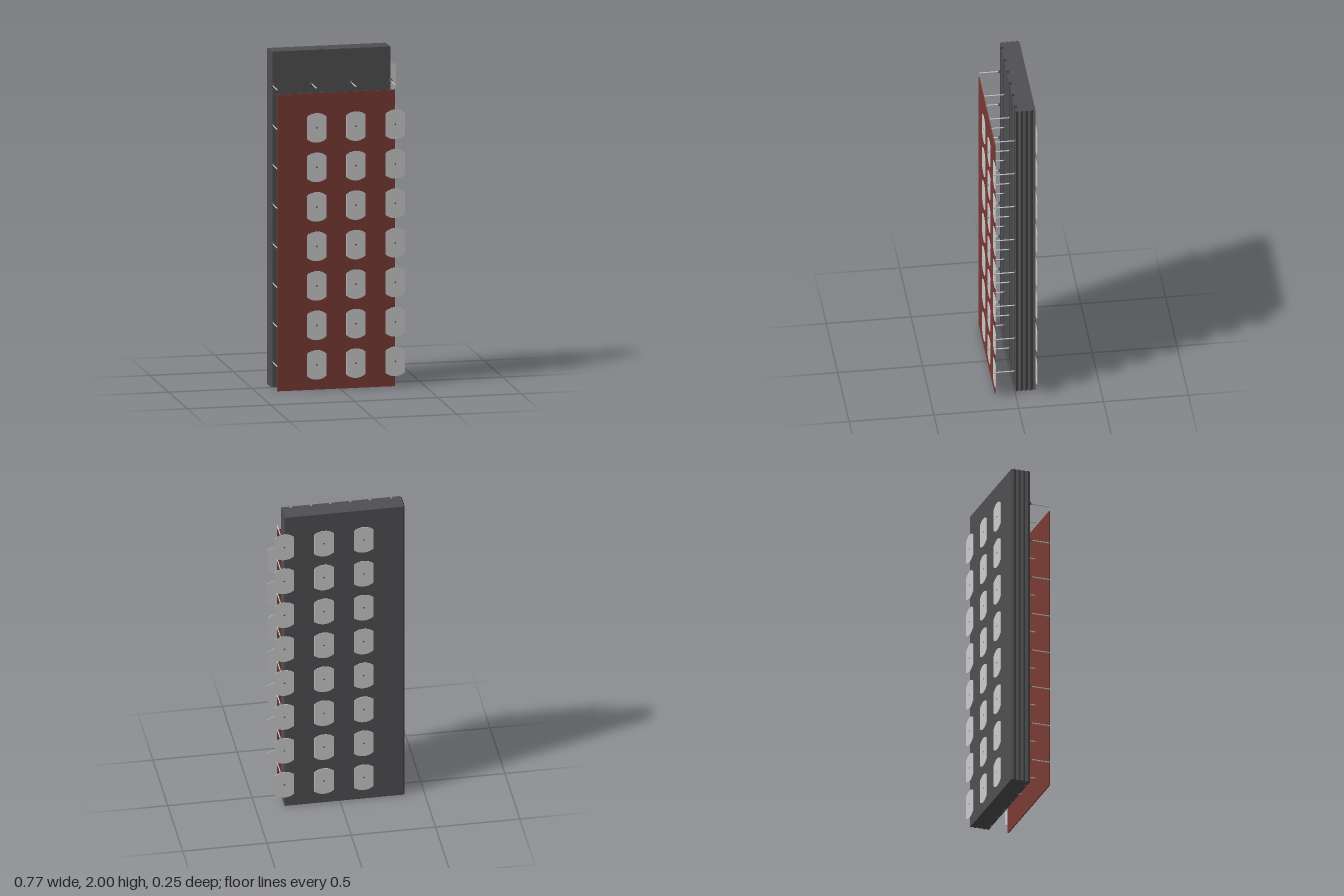
import * as THREE from 'three';

const dark = new THREE.MeshStandardMaterial({ color: 0x505052, flatShading: true });
const red = new THREE.MeshStandardMaterial({ color: 0x7a3a34 });
const grey = new THREE.MeshStandardMaterial({ color: 0xcccccc });

const columns = [-0.375, -0.14, 0.095, 0.33];
const rows = Array.from({ length: 8 }, (_, i) => 0.148 + i * 0.2355);
const BACK = -0.122, FRONT = -0.006, LEFT = -0.375, RIGHT = 0.33;

function add(parent, name, geometry, material, x = 0, y = 0, z = 0) {
  const mesh = new THREE.Mesh(geometry, material);
  mesh.name = name;
  mesh.position.set(x, y, z);
  parent.add(mesh);
  return mesh;
}

// Wall slab outline: zigzag sides that interlock, dovetail grooves along the front
function slabGeometry() {
  const pts = [];
  const steps = 8;
  const zAt = i => BACK + (FRONT - BACK) * i / steps;
  for (let i = 0; i <= steps; i++) pts.push([LEFT - (i % 2) * 0.011, zAt(i)]);
  for (const x of [-0.325, -0.198, -0.081, 0.037, 0.154, 0.272]) {
    pts.push([x - 0.008, FRONT], [x - 0.011, FRONT - 0.015]);
    pts.push([x + 0.011, FRONT - 0.015], [x + 0.008, FRONT]);
  }
  for (let i = steps; i >= 0; i--) pts.push([RIGHT - (i % 2) * 0.011, zAt(i)]);
  const shape = new THREE.Shape(pts.map(([x, z]) => new THREE.Vector2(x, -z)));
  return new THREE.ExtrudeGeometry(shape, { depth: 2, bevelEnabled: false }).rotateX(-Math.PI / 2);
}

// Pressure plate: a disc with its two sides cut straight
function plateGeometry() {
  const r = 0.088, a = Math.acos(0.058 / r);
  const shape = new THREE.Shape();
  shape.absarc(0, 0, r, a, Math.PI - a, false);
  shape.absarc(0, 0, r, Math.PI + a, 2 * Math.PI - a, false);
  shape.closePath();
  return new THREE.ExtrudeGeometry(shape, { depth: 0.003, bevelEnabled: false, curveSegments: 16 });
}

export function createModel() {
  const model = new THREE.Group();
  model.name = 'insulatedWallPanel';

  add(model, 'insulationSlab', slabGeometry(), dark);
  add(model, 'facingSheet', new THREE.BoxGeometry(RIGHT - LEFT, 1.768, 0.006), red,
    (LEFT + RIGHT) / 2, 0.884, 0.116);

  // Tie rods with conical collars on the slab
  const rod = new THREE.CylinderGeometry(0.0035, 0.0035, 0.123, 12).rotateX(Math.PI / 2);
  const collar = new THREE.CylinderGeometry(0.004, 0.012, 0.01, 16).rotateX(Math.PI / 2);
  for (const x of columns) {
    for (const y of rows) {
      add(model, 'tieRod', rod, grey, x, y, 0.0555);
      add(model, 'rodCollar', collar, dark, x, y, -0.001);
    }
  }

  // Plates and their screw heads on the facing sheet and on the back of the slab
  const plate = plateGeometry();
  const head = new THREE.CylinderGeometry(0.005, 0.005, 0.002, 12).rotateX(Math.PI / 2);
  for (const x of columns.slice(1)) {
    rows.forEach((y, i) => {
      if (i < 7) {
        add(model, 'frontPlate', plate, grey, x, y, 0.119);
        add(model, 'frontScrew', head, dark, x, y, 0.1215);
      }
      add(model, 'backPlate', plate, grey, x, y, -0.125);
      add(model, 'backScrew', head, dark, x, y, -0.1245);
    });
  }
  return model;
}
